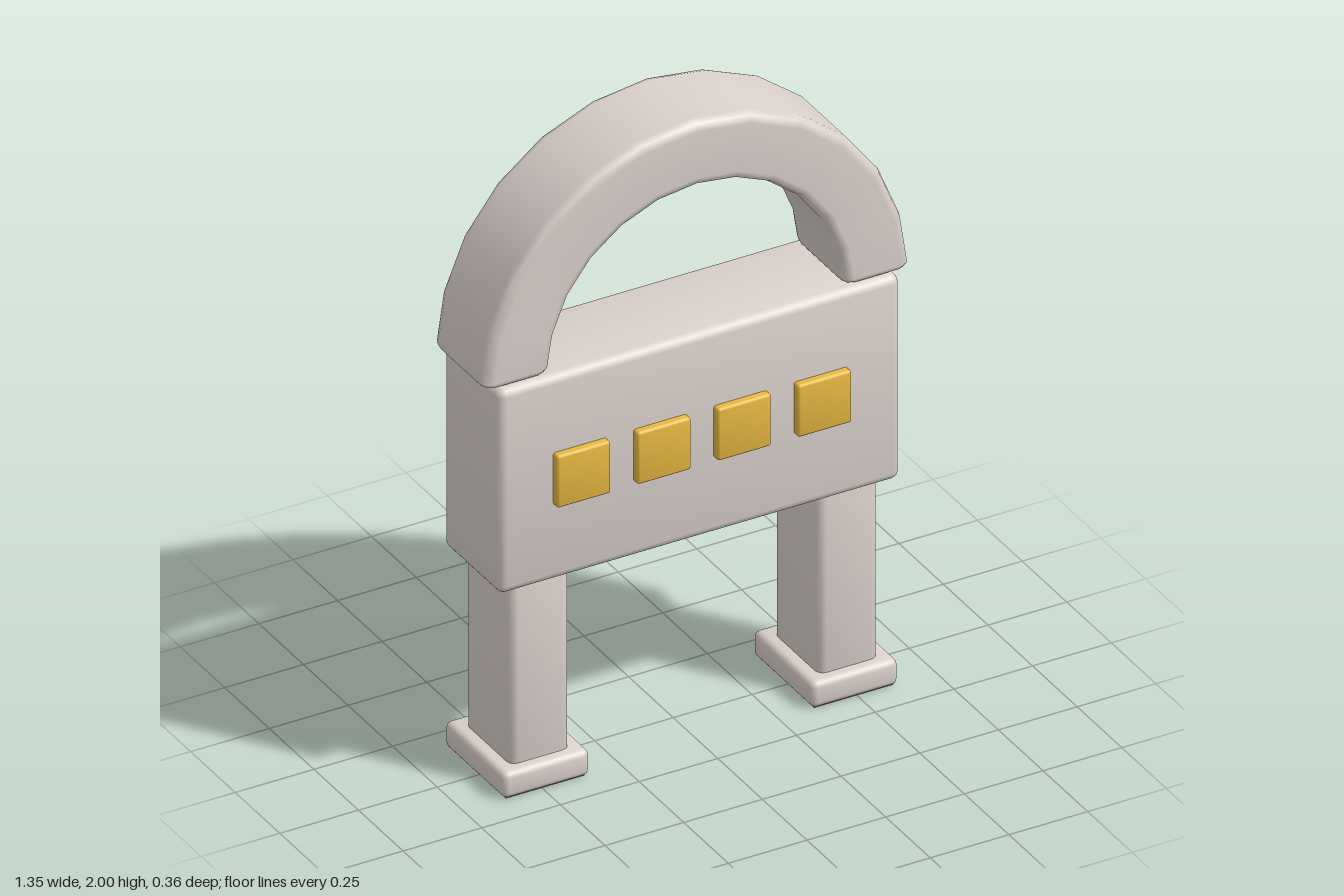
import * as THREE from 'three';
import { RoundedBoxGeometry } from 'three/addons/geometries/RoundedBoxGeometry.js';

const MID = -0.007; // shared mid-plane of the main parts

// Rounded box whose normals lean towards the corners, for soft cushioned shading
function softBox(w, h, d, r, lean = 0.15) {
  const geometry = new RoundedBoxGeometry(w, h, d, 2, r);
  const { position, normal } = geometry.attributes;
  const n = new THREE.Vector3();
  for (let i = 0; i < position.count; i++) {
    n.fromBufferAttribute(normal, i);
    n.x += lean * Math.sign(position.getX(i));
    n.y += lean * Math.sign(position.getY(i));
    n.z += lean * Math.sign(position.getZ(i));
    n.normalize();
    normal.setXYZ(i, n.x, n.y, n.z);
  }
  return geometry;
}

// Closed rounded rectangle in (radial, z), anticlockwise
function roundedRect(w, d, r, steps = 2) {
  const pts = [];
  [[1, 1], [-1, 1], [-1, -1], [1, -1]].forEach(([sx, sz], q) => {
    for (let i = 0; i <= steps; i++) {
      const a = (q + i / steps) * Math.PI / 2;
      pts.push([sx * (w / 2 - r) + r * Math.cos(a), sz * (d / 2 - r) + r * Math.sin(a)]);
    }
  });
  return pts;
}

// Half-ring swept from rounded-rectangle sections, with bevelled ends
function archGeometry(radius, width, depth, bevel, segments) {
  const rings = [];
  const addRing = (angle, lift, inset) => {
    rings.push(roundedRect(width - 2 * inset, depth - 2 * inset, bevel).map(([u, z]) => [
      Math.cos(angle) * (radius + u), Math.sin(angle) * (radius + u) + lift, z]));
  };
  const ends = [[0, 0.022], [0.007, 0.007], [0.022, 0]]; // lift, inset
  ends.forEach(([lift, inset]) => addRing(0, lift, inset));
  for (let i = 1; i < segments; i++) addRing(Math.PI * i / segments, 0, 0);
  ends.reverse().forEach(([lift, inset]) => addRing(Math.PI, lift, inset));

  const n = rings[0].length;
  const position = rings.flat(2);
  const index = [];
  for (let r = 0; r < rings.length - 1; r++) {
    for (let i = 0; i < n; i++) {
      const a = r * n + i, b = r * n + (i + 1) % n;
      index.push(a, a + n, b, b, a + n, b + n);
    }
  }
  // Flat end caps with their own corners
  [rings[0], rings[rings.length - 1]].forEach((ring, last) => {
    const start = position.length / 3;
    position.push(...ring.flat());
    for (let i = 1; i < n - 1; i++) {
      index.push(start, start + (last ? i + 1 : i), start + (last ? i : i + 1));
    }
  });
  const geometry = new THREE.BufferGeometry();
  geometry.setAttribute('position', new THREE.Float32BufferAttribute(position, 3));
  geometry.setIndex(index);
  geometry.computeVertexNormals();
  return geometry;
}

export function createModel() {
  const model = new THREE.Group();
  const stone = new THREE.MeshStandardMaterial({ color: 0xdbd1cc });
  stone.name = 'pale warm grey';
  const gold = new THREE.MeshStandardMaterial({ color: 0xe6b840 });
  gold.name = 'gold';
  const sole = new THREE.MeshStandardMaterial({ color: 0x8f8784 });
  sole.name = 'dark grey';

  const add = (name, geometry, material, x, y, z) => {
    const mesh = new THREE.Mesh(geometry, material);
    mesh.name = name;
    mesh.position.set(x, y, z);
    model.add(mesh);
  };

  // Main block and the arch standing on it
  add('body', softBox(1.275, 0.66, 0.318, 0.025), stone, 0, 0.991, MID);
  add('arch', archGeometry(0.572, 0.21, 0.295, 0.03, 12), stone, 0, 1.322, MID);

  // Legs, feet and the dark soles under them
  for (const [side, s] of [['left', 1], ['right', -1]]) {
    add(side + 'Leg', softBox(0.19, 0.66, 0.256, 0.025), stone, s * 0.49, 0.37, MID);
    add(side + 'Foot', softBox(0.273, 0.083, 0.337, 0.018), stone, s * 0.49, 0.0435, -0.01);
    add(side + 'Sole', new THREE.BoxGeometry(0.25, 0.006, 0.314), sole, s * 0.49, 0.003, -0.01);
  }

  // Row of square studs on the front
  for (let i = 0; i < 4; i++) {
    add('stud' + (i + 1), softBox(0.17, 0.168, 0.06, 0.008), gold, (i - 1.5) * 0.255, 0.992, 0.147);
  }
  return model;
}
